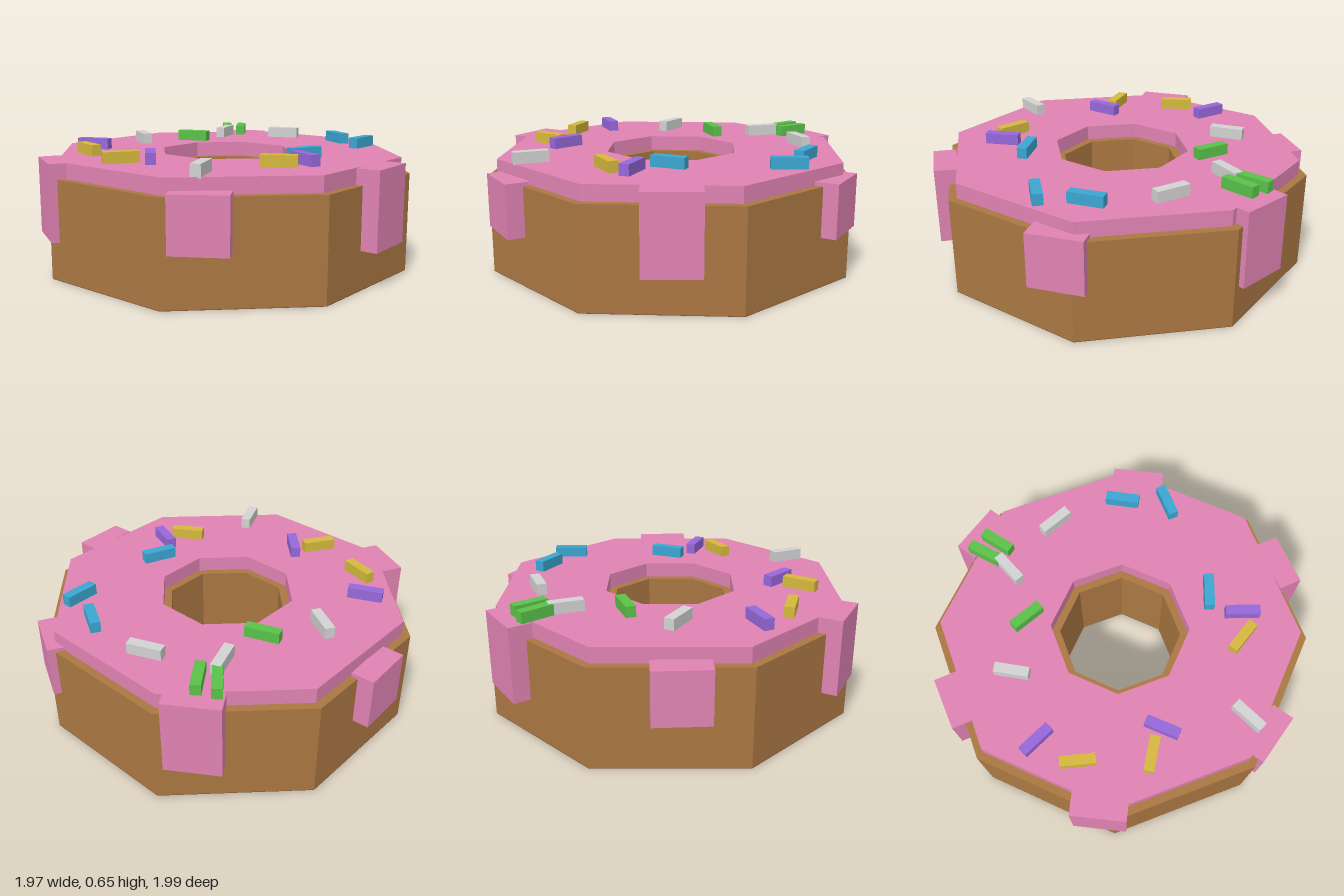
import * as THREE from 'three';

const mat = (name, color) => {
  const m = new THREE.MeshStandardMaterial({ color });
  m.name = name;
  return m;
};

// Octagon outline with flat sides facing the axes, given its apothem
function octagon(apothem, PathType) {
  const r = apothem / Math.cos(Math.PI / 8);
  const pts = [];
  for (let i = 0; i < 8; i++) {
    const a = (i + 0.5) * Math.PI / 4;
    pts.push(new THREE.Vector2(r * Math.cos(a), r * Math.sin(a)));
  }
  return new PathType(pts);
}

// Octagonal ring standing between two heights
function ring(name, outer, inner, y0, y1, material) {
  const shape = octagon(outer, THREE.Shape);
  shape.holes.push(octagon(inner, THREE.Path));
  const geo = new THREE.ExtrudeGeometry(shape, { depth: y1 - y0, bevelEnabled: false });
  geo.rotateX(-Math.PI / 2).translate(0, y0, 0);
  const mesh = new THREE.Mesh(geo, material);
  mesh.name = name;
  return mesh;
}

export function createModel() {
  const model = new THREE.Group();
  model.name = 'donut';
  const dough = mat('dough brown', 0xaa7742);
  const crust = mat('underside brown', 0x7c5236);
  const icing = mat('icing pink', 0xe083b3);
  const colours = {
    white: mat('sprinkle white', 0xd2d2d2),
    green: mat('sprinkle green', 0x5ac14a),
    blue: mat('sprinkle blue', 0x3ba6d1),
    purple: mat('sprinkle purple', 0x9768da),
    yellow: mat('sprinkle yellow', 0xd5b83d),
  };

  // Darker underside, dough and icing rings
  model.add(ring('underside', 0.911, 0.295, 0, 0.003, crust));
  model.add(ring('dough', 0.911, 0.295, 0.003, 0.515, dough));
  model.add(ring('icing', 0.87, 0.335, 0.515, 0.595, icing));

  // Icing drips, alternately short and long
  for (let i = 0; i < 6; i++) {
    const a = THREE.MathUtils.degToRad(-12 + 60 * i);
    const [y0, y1] = i % 2 ? [0.2, 0.595] : [0.26, 0.535];
    const drip = new THREE.Mesh(new THREE.BoxGeometry(0.28, y1 - y0, 0.12), icing);
    drip.name = 'icingDrip';
    drip.position.set(Math.sin(a) * 0.93, (y0 + y1) / 2, Math.cos(a) * 0.93);
    drip.rotation.y = a;
    model.add(drip);
  }

  // Sprinkles: colour, x, z, heading in degrees from +x towards +z
  const sprinkles = [
    ['green', 0.082, -0.83, -86], ['green', 0.168, -0.80, -81],
    ['white', 0.052, -0.67, -66], ['white', 0.409, -0.572, 24],
    ['green', -0.154, -0.463, 25], ['white', -0.453, -0.398, 75],
    ['purple', -0.72, -0.128, 21], ['yellow', -0.731, 0.103, 60],
    ['yellow', -0.553, 0.42, -13], ['purple', -0.408, 0.414, 89],
    ['blue', 0.685, -0.294, 74], ['blue', 0.77, -0.064, -46],
    ['blue', 0.367, 0.348, -24], ['purple', 0.333, 0.55, 65],
    ['yellow', 0.2, 0.602, 14], ['white', -0.18, 0.782, 110],
  ];
  const sprinkleGeo = new THREE.BoxGeometry(0.18, 0.065, 0.052);
  sprinkles.forEach(([colour, x, z, deg]) => {
    const s = new THREE.Mesh(sprinkleGeo, colours[colour]);
    s.name = colour + 'Sprinkle';
    // White sprinkles sit a hair higher where they cross others
    s.position.set(x, colour === 'white' ? 0.621 : 0.62, z);
    s.rotation.y = -THREE.MathUtils.degToRad(deg);
    model.add(s);
  });
  return model;
}
